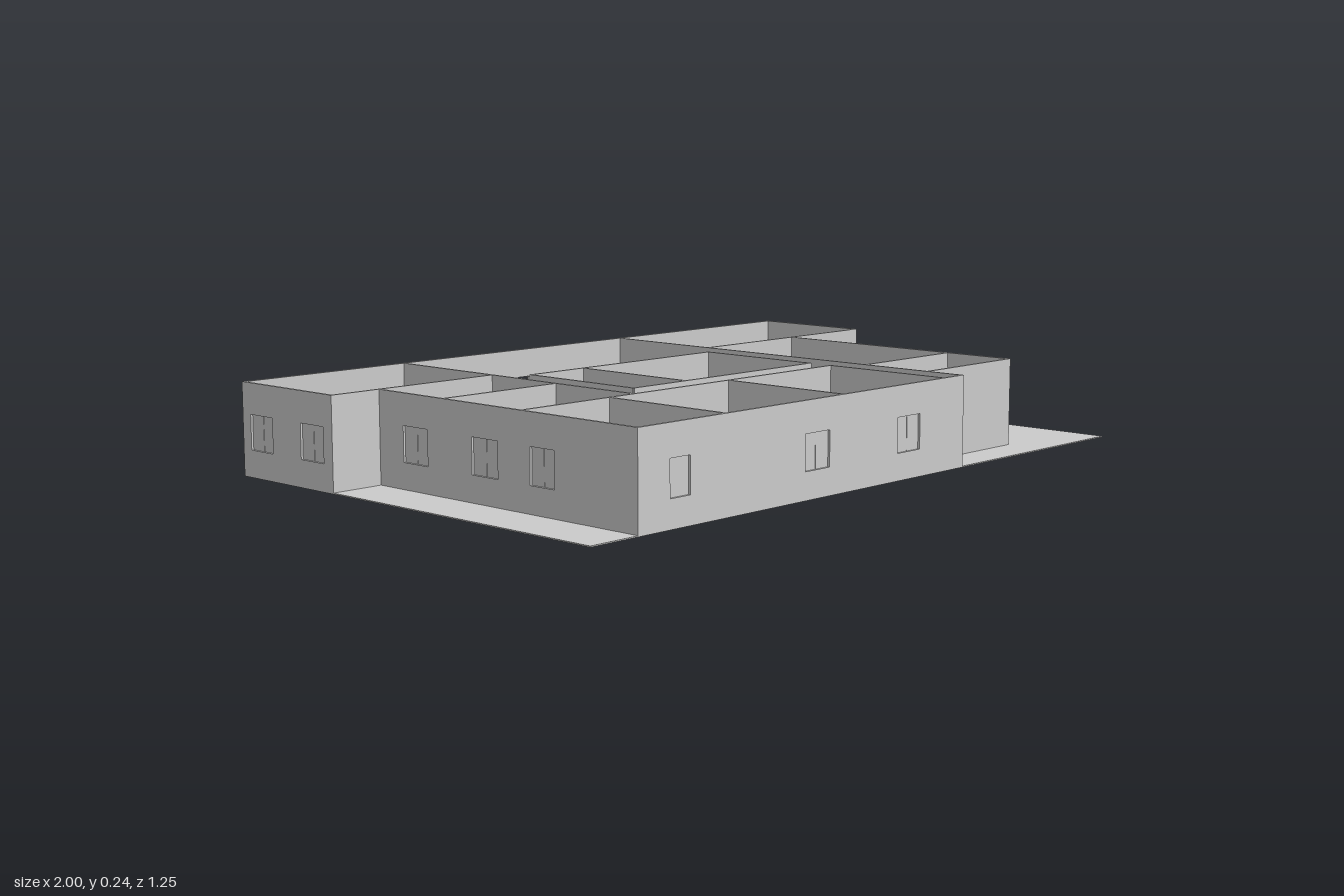
import * as THREE from 'three';

const H = 0.24, T = 0.008;            // wall height and thickness
const FLOOR = 0.003, DOOR = 0.162;    // floor top, door head
const SILL = 0.07, HEAD = 0.16;       // window opening
const mat = new THREE.MeshStandardMaterial({ color: 0xcccccc, side: THREE.DoubleSide });

function box(parent, name, w, h, d, x, y, z) {
  const m = new THREE.Mesh(new THREE.BoxGeometry(w, h, d), mat);
  m.name = name;
  m.position.set(x, y, z);
  parent.add(m);
  return m;
}

// Door leaf standing ajar at 45 degrees, hinged at u and swinging to one side
function leaf(parent, u, dir, length, side) {
  const g = new THREE.Group();
  g.name = 'doorLeaf';
  const h = DOOR - FLOOR;
  box(g, 'doorPanel', length, h, 0.003, length / 2, FLOOR + h / 2, 0);
  box(g, 'doorHandle', 0.006, 0.004, 0.012, length - 0.007, 0.085, 0);
  g.position.set(u, 0, side * T / 2);
  g.rotation.y = Math.atan2(-side, dir);
  parent.add(g);
}

// Wall along 'x' or 'z' at a fixed offset, from a to b.
// doors: [hinge, far edge, swing side, double]; windows: [from, to, inner side]
function wall(root, name, axis, at, a, b, doors = [], windows = []) {
  const g = new THREE.Group();
  g.name = name;
  const flip = axis === 'x' ? 1 : -1;

  const shape = new THREE.Shape();
  shape.moveTo(a, FLOOR);
  const gaps = doors.map(([p, q]) => [Math.min(p, q), Math.max(p, q)]).sort((p, q) => p[0] - q[0]);
  for (const [p, q] of gaps) {
    shape.lineTo(p, FLOOR);
    shape.lineTo(p, DOOR);
    shape.lineTo(q, DOOR);
    shape.lineTo(q, FLOOR);
  }
  shape.lineTo(b, FLOOR);
  shape.lineTo(b, H);
  shape.lineTo(a, H);
  shape.closePath();
  for (const [p, q] of windows) {
    const hole = new THREE.Path();
    hole.moveTo(p, SILL);
    hole.lineTo(p, HEAD);
    hole.lineTo(q, HEAD);
    hole.lineTo(q, SILL);
    hole.closePath();
    shape.holes.push(hole);
  }
  const geo = new THREE.ExtrudeGeometry(shape, { depth: T, bevelEnabled: false });
  geo.translate(0, 0, -T / 2);
  const panel = new THREE.Mesh(geo, mat);
  panel.name = 'wallPanel';
  g.add(panel);

  for (const [p, q, side, double] of doors) {
    const dir = Math.sign(q - p), len = Math.abs(q - p) * (double ? 0.46 : 0.94);
    leaf(g, p, dir, len, side * flip);
    if (double) leaf(g, q, -dir, len, side * flip);
  }
  // Panes sit at the inner face, leaving a reveal outside
  for (const [p, q, side] of windows) {
    const z = side * flip * (T / 2 - 0.0005), y = (SILL + HEAD) / 2;
    box(g, 'windowPane', q - p, HEAD - SILL, 0.003, (p + q) / 2, y, z);
    box(g, 'windowMullion', 0.004, HEAD - SILL, 0.005, (p + q) / 2, y, z);
  }

  if (axis === 'x') g.position.z = at;
  else {
    g.position.x = at;
    g.rotation.y = -Math.PI / 2;
  }
  root.add(g);
}

export function createModel() {
  const root = new THREE.Group();
  root.name = 'floorPlan';
  const X = (name, ...r) => wall(root, name, 'x', ...r);
  const Z = (name, ...r) => wall(root, name, 'z', ...r);

  box(root, 'floor', 2, FLOOR, 1.246, 0, FLOOR / 2, 0);

  // Back wing
  X('backWall', -0.619, -1, 1, [[-0.162, -0.04, 1, true]],
    [[-0.365, -0.275, 1], [0.095, 0.185, 1], [0.447, 0.54, 1], [0.78, 0.87, 1]]);
  Z('backWingRightWall', -0.996, -0.623, -0.26, [], [[-0.59, -0.5, 1], [-0.385, -0.295, 1]]);
  Z('backWingLeftWall', 0.996, -0.623, -0.26, [], [[-0.495, -0.395, -1]]);
  X('backWingRightPartition', -0.264, -1, -0.486);
  X('backWingLeftPartition', -0.264, 0.33, 1, [[0.517, 0.64, -1, true]]);

  // Right side rooms
  Z('rightOuterWall', -0.852, -0.264, 0.623, [],
    [[-0.17, -0.08, 1], [0.08, 0.17, 1], [0.28, 0.36, 1]]);
  Z('rightCorridorWall', -0.486, -0.619, 0.247,
    [[-0.605, -0.545, -1], [-0.25, -0.19, -1], [-0.015, 0.045, -1]]);
  X('rightRoomDivider', -0.026, -0.852, -0.486);

  // Front rooms
  X('frontWall', 0.619, -0.856, 0.334, [],
    [[-0.755, -0.69, -1], [-0.295, -0.205, -1], [0.06, 0.15, -1]]);
  X('frontRoomsWall', 0.247, -0.852, 0.257, [[-0.5, -0.56, -1], [-0.45, -0.39, 1]]);
  Z('frontDividerRight', -0.569, 0.247, 0.619, [[0.61, 0.55, -1]]);
  Z('frontDividerMiddle', -0.149, 0.247, 0.619);
  Z('frontDividerLeft', 0.255, 0.247, 0.619, [[0.605, 0.545, -1]]);

  // Central block
  X('centreBackWall', -0.194, -0.418, 0.257, [[0.21, 0.15, 1]], [[-0.075, 0.015, 1]]);
  X('centreFrontWall', 0.176, -0.418, 0.257, [], [[-0.185, -0.09, -1], [0.115, 0.21, -1]]);
  Z('centreRightWall', -0.416, -0.194, 0.176, [[-0.175, -0.115, 1]]);
  Z('centreLeftWall', 0.255, -0.194, 0.176);
  Z('centreDivider', -0.23, -0.194, 0.176);

  // Left side rooms
  Z('leftCorridorWall', 0.33, -0.619, 0.623,
    [[-0.51, -0.385, 1, true], [-0.215, -0.09, 1, true], [0.1, 0.23, 1, true]]);
  Z('leftOuterWall', 0.696, -0.264, 0.514, [],
    [[-0.13, -0.03, -1], [0.11, 0.21, -1], [0.39, 0.455, -1]]);
  X('leftRoomDivider', 0.306, 0.33, 0.696, [[0.685, 0.625, 1]]);
  X('leftFrontWall', 0.51, 0.33, 0.7);

  return root;
}
